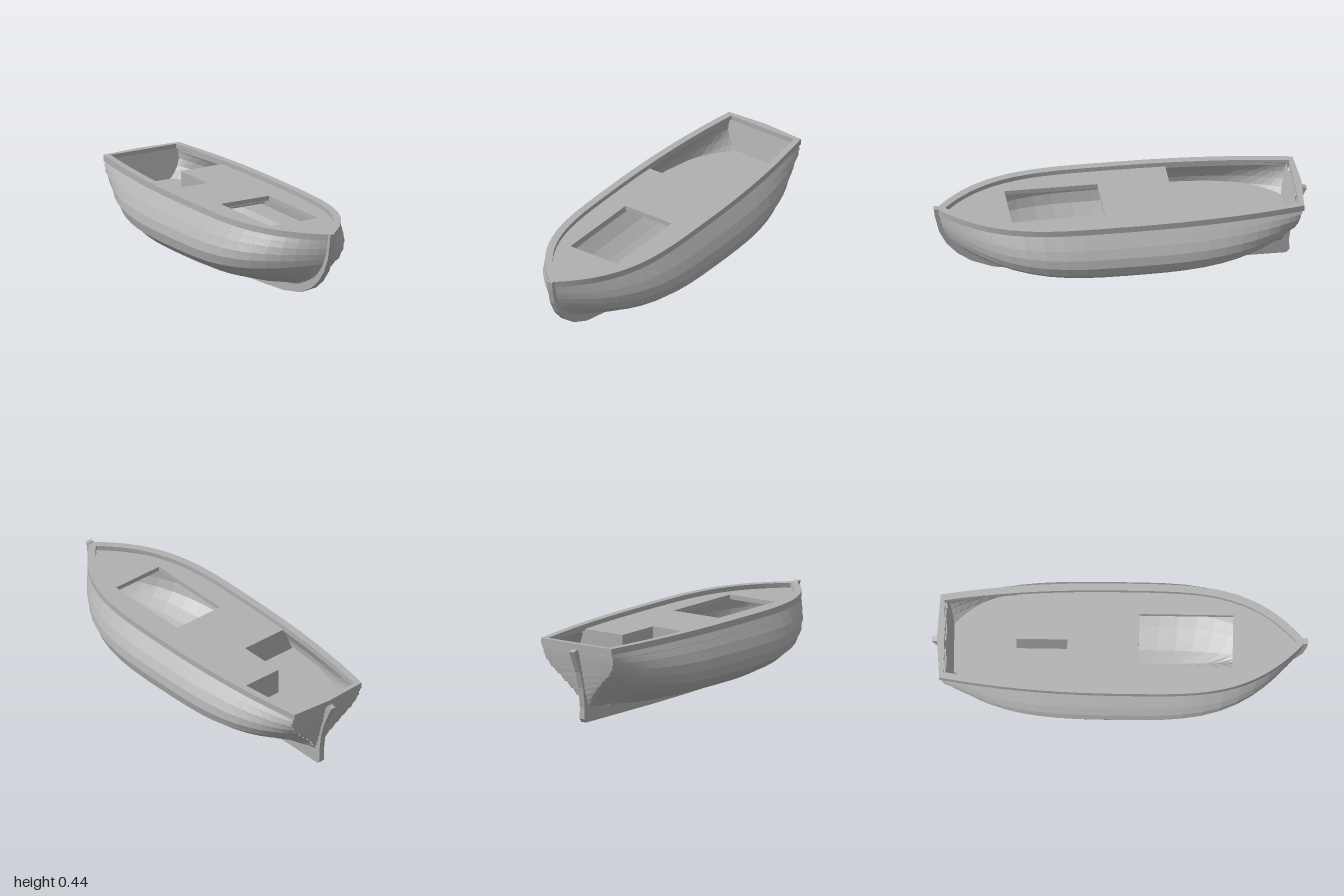
import * as THREE from 'three';

const grey = new THREE.MeshStandardMaterial({ color: 0xb0b0b0, flatShading: true, side: THREE.DoubleSide });
grey.name = 'boatGrey';

// Plank edges from rail to keel: mid x, mid y, transom x, transom y, stem y
const EDGES = [
  [0.302, 0.41, 0.228, 0.41, 0.41], [0.325, 0.37, 0.232, 0.385, 0.385],
  [0.348, 0.33, 0.23, 0.355, 0.357], [0.37, 0.28, 0.215, 0.32, 0.325],
  [0.375, 0.23, 0.19, 0.285, 0.295], [0.355, 0.175, 0.15, 0.25, 0.265],
  [0.295, 0.125, 0.115, 0.215, 0.24], [0.225, 0.09, 0.08, 0.18, 0.215],
  [0.155, 0.067, 0.05, 0.145, 0.19], [0.1, 0.052, 0.03, 0.11, 0.165],
  [0.012, 0.05, 0.015, 0.08, 0.09],
];
const STATIONS = 26;

// Where the planks meet the stem: y, z
const STEM = [[0.05, 0.45], [0.09, 0.7], [0.14, 0.8], [0.2, 0.875], [0.27, 0.93], [0.34, 0.96], [0.45, 0.98]];
function stemZ(y) {
  let i = 0;
  while (i < STEM.length - 2 && y > STEM[i + 1][0]) i++;
  const [a, b] = [STEM[i], STEM[i + 1]];
  return a[1] + (b[1] - a[1]) * (y - a[0]) / (b[0] - a[0]);
}
const transomZ = (y) => -0.86 - (y - 0.08) * 0.265;

// Point on plank edge j, t from -1 (transom) to 1 (stem)
function edgePoint(j, t) {
  const [mx, my, tx, ty, by] = EDGES[j];
  const s = Math.abs(t);
  if (t < 0) {
    const p = 2.2 + 1.3 * Math.sin(Math.PI * j / 10);
    return new THREE.Vector3(mx + (tx - mx) * s ** p, my + (ty - my) * s ** 3, s * transomZ(ty));
  }
  return new THREE.Vector3(mx + (0.01 - mx) * s ** (3.8 - 0.1 * j), my + (by - my) * s ** 2.6, s * stemZ(by));
}
const params = Array.from({ length: STATIONS + 1 }, (_, i) => Math.sin((i / STATIONS - 0.5) * Math.PI));

// Surface through rows of points
function sheet(rows) {
  const pos = [];
  const add = (...pts) => pts.forEach((p) => pos.push(p.x, p.y, p.z));
  for (let j = 0; j < rows.length - 1; j++) {
    for (let i = 0; i < rows[j].length - 1; i++) {
      const a = rows[j][i], b = rows[j][i + 1], c = rows[j + 1][i], d = rows[j + 1][i + 1];
      add(a, b, c, b, d, c);
    }
  }
  const g = new THREE.BufferGeometry();
  g.setAttribute('position', new THREE.Float32BufferAttribute(pos, 3));
  g.computeVertexNormals();
  return g;
}
const mirrorRows = (rows) => rows.map((r) => r.map((p) => new THREE.Vector3(-p.x, p.y, p.z)).reverse());

// Flat slab from an outline of [x, z] points
function slab(points, top, depth, hole) {
  const shape = new THREE.Shape(points.map(([x, z]) => new THREE.Vector2(x, z)));
  if (hole) shape.holes.push(new THREE.Path(hole.map(([x, z]) => new THREE.Vector2(x, z))));
  return new THREE.ExtrudeGeometry(shape, { depth, bevelEnabled: false }).rotateX(Math.PI / 2).translate(0, top, 0);
}

// One side of a rail outline, from stern to bow
function railSide(mid, stern, zStern, zBow, tip, from = zStern) {
  return Array.from({ length: 29 }, (_, i) => {
    const z = from + (zBow - from) * Math.sin(i / 28 * Math.PI / 2);
    const x = z < 0 ? mid + (stern - mid) * (z / zStern) ** 2.2 : mid + (tip - mid) * (z / zBow) ** 3.8;
    return [x, z];
  });
}
const flip = (pts) => pts.map(([x, z]) => [-x, z]).reverse();

export function createModel() {
  const boat = new THREE.Group();
  boat.name = 'rowingBoat';
  const add = (name, geometry) => {
    const m = new THREE.Mesh(geometry, grey);
    m.name = name;
    boat.add(m);
  };

  // Overlapping hull planks, each with a small lip along its lower edge
  for (let j = 0; j < EDGES.length - 1; j++) {
    const upper = params.map((t) => edgePoint(j, t));
    const lower = params.map((t) => edgePoint(j + 1, t));
    const lap = lower.map((p, i) => {
      const dx = p.x - upper[i].x, dy = p.y - upper[i].y;
      const k = (j === 9 ? 0 : 0.008) / (Math.hypot(dx, dy) || 1);
      return new THREE.Vector3(p.x - dy * k, p.y + dx * k * 0.8, p.z);
    });
    const rows = [upper, lap, lower];
    add('leftPlank' + (j + 1), sheet(rows));
    add('rightPlank' + (j + 1), sheet(mirrorRows(rows)));

    // Matching transom board
    const across = (k, out) => {
      const [, , x, y] = EDGES[k];
      const z = transomZ(y) - out;
      return [[x, 0], [0, 0.012], [-x, 0]].map(([px, bulge]) => new THREE.Vector3(px, y, z - bulge));
    };
    add('transomBoard' + (j + 1), sheet([across(j, 0), across(j + 1, 0.007), across(j + 1, 0)]));
  }

  // Smooth inner lining and inner transom
  const lining = EDGES.map((_, j) => params.map((t) => {
    const p = edgePoint(j, t);
    return new THREE.Vector3(Math.max(p.x - 0.025, 0), p.y + 0.012, p.z * 0.972);
  }));
  add('leftLining', sheet(lining));
  add('rightLining', sheet(mirrorRows(lining)));
  add('innerTransom', sheet(lining.map((r) => [r[0], new THREE.Vector3(-r[0].x, r[0].y, r[0].z)])));

  // Rail around the top edge
  const outer = railSide(0.312, 0.235, -0.957, 0.978, 0.012);
  const inner = railSide(0.272, 0.203, -0.935, 0.935, 0.003);
  add('rail', slab([...outer, ...flip(outer), [0, -0.973]], 0.44, 0.034, [...inner, ...flip(inner)]));

  // Deck with a hatch and a stepped aft edge
  const deckLeft = railSide(0.29, 0.22, -0.945, 0.955, 0.004, -0.55);
  const deckRight = railSide(0.29, 0.22, -0.945, 0.955, 0.004, -0.28);
  const hatch = [[-0.15, 0.1], [0.15, 0.1], [0.15, 0.6], [-0.15, 0.6]];
  add('deck', slab([...deckLeft, ...flip(deckRight), [0, -0.28], [0, -0.55]], 0.415, 0.025, hatch));

  // Cockpit floor
  const floorSide = [[0.15, -0.885], [0.19, -0.855], [0.225, -0.8], [0.275, -0.7], [0.32, -0.5], [0.34, -0.25]];
  add('cockpitFloor', slab([...floorSide, ...flip(floorSide)], 0.27, 0.01));

  // Cockpit bulkheads, shaped to the hull sides
  const bulkhead = (top, bottom, z) => {
    const pts = [[0, 0.265], [bottom, 0.265], [top, 0.4], [0, 0.4]].map(([x, y]) => new THREE.Vector2(x, y));
    return new THREE.ExtrudeGeometry(new THREE.Shape(pts), { depth: 0.01, bevelEnabled: false }).translate(0, 0, z);
  };
  add('rightBulkhead', bulkhead(-0.275, -0.33, -0.28));
  add('leftBulkhead', bulkhead(0.26, 0.305, -0.55));
  add('middleBulkhead', new THREE.BoxGeometry(0.01, 0.135, 0.27).translate(0.005, 0.3325, -0.415));

  // Stem, keel and sternpost in one side profile of z, y
  const profile = [
    [0.978, 0.445], [1, 0.445], [0.993, 0.39], [0.972, 0.3], [0.935, 0.225], [0.875, 0.155], [0.8, 0.1],
    [0.68, 0.05], [0.52, 0.022], [0.3, 0.01], [0, 0.004], [-0.3, 0], [-0.89, 0], [-0.907, 0.02],
    [-0.904, 0.08], [-0.918, 0.19], [-0.945, 0.28], [-1, 0.4], [-0.966, 0.412], [-0.93, 0.33], [-0.9, 0.25],
    [-0.87, 0.15], [-0.845, 0.085], [-0.7, 0.065], [0, 0.06], [0.4, 0.065], [0.6, 0.085], [0.74, 0.14],
    [0.84, 0.22], [0.91, 0.3], [0.95, 0.4],
  ].map(([z, y]) => new THREE.Vector2(z, y));
  add('keelAndStem', new THREE.ExtrudeGeometry(new THREE.Shape(profile), { depth: 0.032, bevelEnabled: false })
    .translate(0, 0, -0.016).rotateY(-Math.PI / 2));

  return boat;
}
